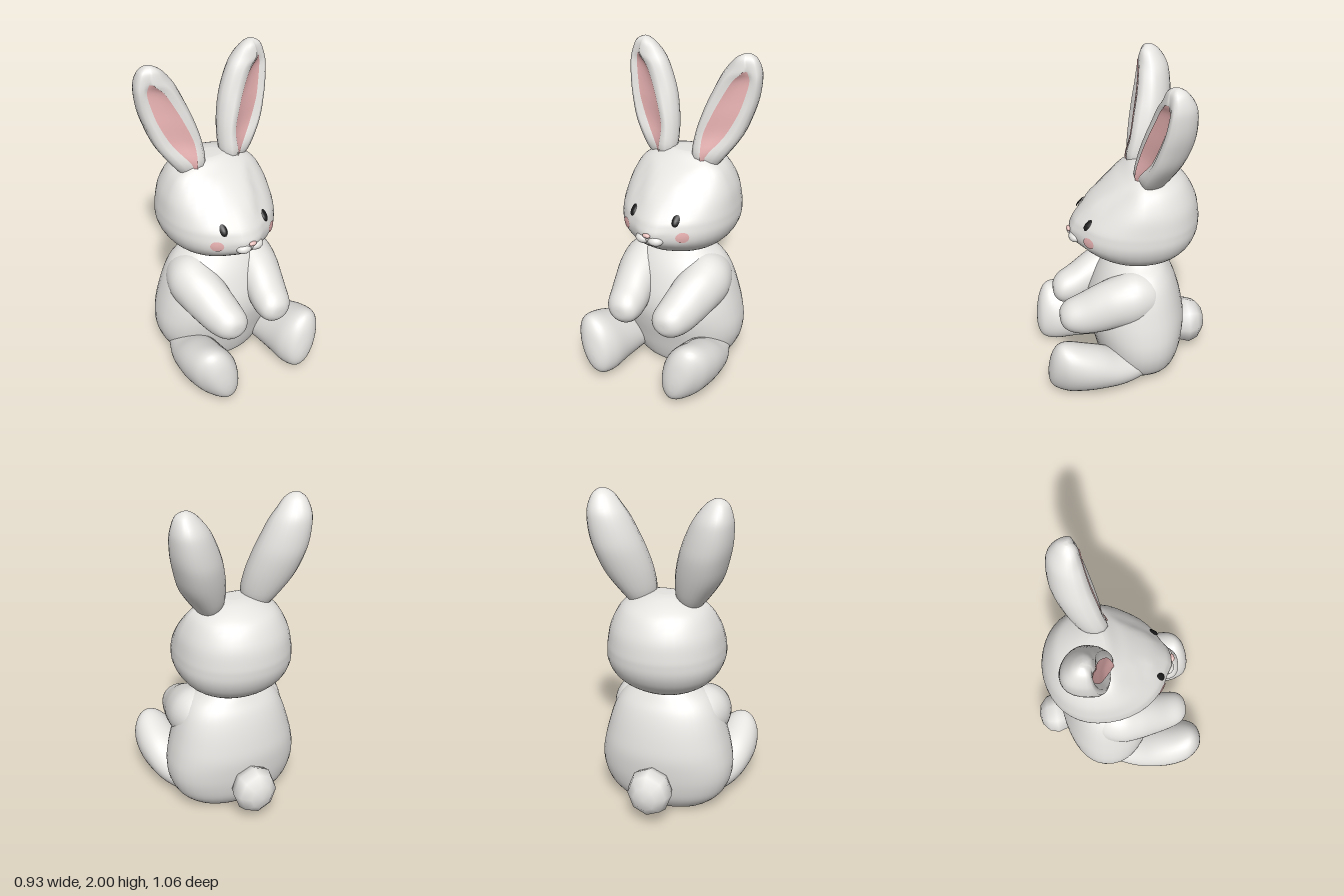
import * as THREE from 'three';

const mat = (name, color, side = THREE.FrontSide) => {
  const m = new THREE.MeshStandardMaterial({ color, side });
  m.name = name;
  return m;
};
const smoothstep = THREE.MathUtils.smoothstep;

// Resample a table of section rows along a Catmull-Rom spline
function refine(rows, steps = 4) {
  const out = [];
  const at = i => rows[Math.min(Math.max(i, 0), rows.length - 1)];
  for (let i = 0; i < rows.length - 1; i++) {
    for (let k = 0; k < steps; k++) {
      const t = k / steps, a = at(i - 1), b = at(i), c = at(i + 1), d = at(i + 2);
      out.push(b.map((p, n) => p + 0.5 * t * (c[n] - a[n] + t * (2 * a[n] - 5 * p + 4 * c[n] - d[n]
        + t * (3 * (p - c[n]) + d[n] - a[n])))));
    }
  }
  out.push(rows[rows.length - 1]);
  return out;
}

// Skin a stack of rings of [x, y, z]; side -1 mirrors the part across x
function loft(rings, side = 1, closed = true) {
  const n = rings[0].length, pos = [], idx = [];
  const tri = (a, b, c) => (side > 0 ? idx.push(a, b, c) : idx.push(a, c, b));
  const add = p => pos.push(p[0] * side, p[1], p[2]);
  rings.forEach(r => r.forEach(add));
  const cols = closed ? n : n - 1;
  for (let i = 0; i < rings.length - 1; i++) {
    for (let j = 0; j < cols; j++) {
      const a = i * n + j, b = i * n + (j + 1) % n;
      tri(a, b, b + n);
      tri(a, b + n, a + n);
    }
  }
  if (closed) {
    const centre = r => [0, 1, 2].map(k => r.reduce((s, p) => s + p[k], 0) / n);
    const last = (rings.length - 1) * n, c0 = rings.length * n;
    add(centre(rings[0]));
    add(centre(rings[rings.length - 1]));
    for (let j = 0; j < n; j++) {
      const k = (j + 1) % n;
      tri(k, j, c0);
      tri(last + j, last + k, c0 + 1);
    }
  }
  const g = new THREE.BufferGeometry();
  g.setAttribute('position', new THREE.Float32BufferAttribute(pos, 3));
  g.setIndex(idx);
  g.computeVertexNormals();
  return g;
}

const angles = Array.from({ length: 40 }, (_, i) => i / 40 * Math.PI * 2);

// Limb from rows [z, centre x, centre y, radius x, radius y], leaning outward by shear
const limb = (rows, side, shear = 0) => loft(refine(rows).map(([z, cx, cy, rx, ry]) =>
  angles.map(a => [cx + rx * Math.cos(a) + shear * ry * Math.sin(a), cy + ry * Math.sin(a), z])), side);

// Fuller-than-round curve for the backs of the head and body
const full = s => Math.pow(Math.max(0, s), 0.85);

// Rows: y, half width, back z, front z
const BODY = [
  [0, 0.2, -0.2, 0.1], [0.02, 0.27, -0.26, 0.14], [0.1, 0.36, -0.32, 0.17], [0.2, 0.405, -0.35, 0.195],
  [0.3, 0.415, -0.365, 0.22], [0.4, 0.4, -0.37, 0.235], [0.5, 0.375, -0.355, 0.225], [0.6, 0.345, -0.33, 0.19],
  [0.68, 0.31, -0.3, 0.15], [0.74, 0.26, -0.265, 0.105], [0.79, 0.18, -0.235, 0.05], [0.84, 0.13, -0.2, 0.02],
];
// Rows: y, half width, back z, front z on the muzzle ridge, front z beside it
const HEAD = refine([
  [0.775, 0.12, -0.2, 0.0, 0.0], [0.8, 0.18, -0.27, 0.07, 0.07], [0.85, 0.26, -0.35, 0.19, 0.185],
  [0.9, 0.31, -0.4, 0.265, 0.255], [0.95, 0.337, -0.43, 0.32, 0.3], [1.0, 0.35, -0.447, 0.335, 0.31],
  [1.05, 0.35, -0.452, 0.318, 0.299], [1.1, 0.345, -0.45, 0.29, 0.272], [1.2, 0.325, -0.43, 0.205, 0.172],
  [1.3, 0.275, -0.375, 0.085, 0.062], [1.35, 0.215, -0.31, 0.01, 0.008], [1.385, 0.13, -0.23, -0.04, -0.04],
  [1.397, 0.06, -0.17, -0.07, -0.07],
]);
const HEAD_Z = -0.09;

// Front of the face at x, with a raised ridge narrowing to the nose
function faceZ([y, w, , zRidge, zSide], x) {
  const arc = Math.sqrt(Math.max(0, 1 - (x / w) ** 2));
  const ridge = 0.06 + 0.32 * Math.max(0, y - 1);
  const blend = smoothstep(Math.abs(x), ridge * 0.75, ridge * 1.2);
  return HEAD_Z + (zRidge + (zSide - zRidge) * blend - HEAD_Z) * arc;
}
function faceAt(x, y) {
  const i = HEAD.findIndex(r => r[0] > y), a = HEAD[i - 1], b = HEAD[i];
  const t = (y - a[0]) / (b[0] - a[0]);
  return faceZ(a.map((v, k) => v + (b[k] - v) * t), x);
}

// Thin oval that follows the face
function facePatch(cx, cy, rx, ry, tilt, dome) {
  const g = new THREE.RingGeometry(0.001, 1, 24, 5);
  const p = g.attributes.position;
  for (let i = 0; i < p.count; i++) {
    const u = p.getX(i), v = p.getY(i);
    const x = cx + u * rx + v * ry * tilt, y = cy + v * ry;
    p.setXYZ(i, x, y, faceAt(x, y) + 0.006 + dome * (1 - u * u - v * v));
  }
  g.computeVertexNormals();
  return g;
}

// Ear rows: y, inner x, outer x, front z, back z, lining inner x, lining outer x, hollow depth
const EAR = refine([
  [1.31, 0.1, 0.2, -0.07, -0.18, 0.14, 0.16, 0], [1.39, 0.062, 0.265, -0.04, -0.235, 0.14, 0.165, 0.2],
  [1.52, 0.07, 0.35, -0.065, -0.295, 0.14, 0.26, 1], [1.65, 0.1, 0.395, -0.095, -0.335, 0.185, 0.325, 1],
  [1.75, 0.135, 0.418, -0.12, -0.345, 0.23, 0.355, 1], [1.85, 0.18, 0.425, -0.14, -0.34, 0.284, 0.373, 1],
  [1.91, 0.218, 0.418, -0.155, -0.322, 0.34, 0.362, 0.3], [1.965, 0.265, 0.398, -0.17, -0.285, 0.335, 0.35, 0],
  [1.99, 0.3, 0.372, -0.188, -0.255, 0.333, 0.342, 0], [2.0, 0.325, 0.35, -0.208, -0.232, 0.336, 0.34, 0],
]);
function hollow([, , , zf, zb, pi, po, d], y, lift = 0) {
  const tilt = 0.07 * (zf - zb);
  return [
    [pi, y, zf - 0.008 * d + lift], [(pi + po) / 2, y, zf - tilt / 2 - 0.03 * d + lift], [po, y, zf - tilt - 0.03 * d + lift],
  ];
}
function earRing(r) {
  const [y, xi, xo, zf, zb, pi, po] = r, ring = [];
  const cx = (xi + xo) / 2, hw = (xo - xi) / 2, depth = zf - zb, zm = zf - 0.32 * depth;
  for (let k = 0; k <= 14; k++) {
    const a = k / 14 * Math.PI, c = Math.cos(a);
    ring.push([cx + hw * (c + 0.18 * (1 - c * c)), y, zm + (zb - zm) * Math.sin(a)]);
  }
  const rimIn = pi - xi, rimOut = xo - po;
  ring.push([xi + rimIn * 0.15, y, zf - 0.12 * depth], [xi + rimIn * 0.5, y, zf + 0.01 * depth], ...hollow(r, y),
    [xo - rimOut * 0.5, y, zf - 0.12 * depth], [xo - rimOut * 0.15, y, zf - 0.19 * depth]);
  return ring;
}

const ARM = [
  [-0.2, 0.2, 0.6, 0.05, 0.05], [-0.14, 0.205, 0.6, 0.12, 0.13], [-0.02, 0.208, 0.595, 0.158, 0.172],
  [0.1, 0.206, 0.57, 0.146, 0.16], [0.2, 0.19, 0.53, 0.132, 0.152], [0.3, 0.17, 0.491, 0.12, 0.126],
  [0.38, 0.158, 0.478, 0.1, 0.095], [0.42, 0.155, 0.475, 0.06, 0.055], [0.43, 0.155, 0.475, 0.02, 0.02],
];
const LEG = [
  [-0.12, 0.25, 0.13, 0.08, 0.07], [0, 0.265, 0.125, 0.125, 0.095], [0.1, 0.285, 0.14, 0.145, 0.12],
  [0.2, 0.3, 0.165, 0.153, 0.15], [0.3, 0.308, 0.185, 0.154, 0.172], [0.4, 0.305, 0.201, 0.144, 0.19],
  [0.46, 0.298, 0.203, 0.117, 0.182], [0.5, 0.29, 0.185, 0.085, 0.142], [0.522, 0.285, 0.16, 0.048, 0.08],
  [0.53, 0.28, 0.15, 0.015, 0.025],
];

export function createModel() {
  const model = new THREE.Group();
  const fur = mat('fur', 0xe6e4e1);
  const lining = mat('ear lining', 0xe6b0b0, THREE.DoubleSide);
  const blush = mat('blush', 0xe6b0b0);
  const nosePink = mat('nose pink', 0xe8c0bc);
  const black = mat('eye black', 0x1a1a1a);
  const add = (name, geometry, material) => {
    const m = new THREE.Mesh(geometry, material);
    m.name = name;
    model.add(m);
    return m;
  };
  const ball = (name, material, [x, y, z], [rx, ry, rz], seg = 20) => {
    const m = add(name, new THREE.SphereGeometry(1, seg, Math.round(seg * 0.75)).rotateX(-Math.PI / 2), material);
    m.position.set(x, y, z);
    m.scale.set(rx, ry, rz);
  };

  // Torso and head
  add('body', loft(refine(BODY).map(([y, w, zb, zf]) => angles.map(a => {
    const s = -Math.sin(a), zc = -0.08;
    return [w * Math.cos(a), y, s > 0 ? zc + (zf - zc) * s : zc + (zb - zc) * full(-s)];
  }))), fur);
  add('head', loft(HEAD.map(r => angles.map(a => {
    const x = r[1] * Math.cos(a), s = Math.sin(a);
    return [x, r[0], s <= 0 ? faceZ(r, x) : HEAD_Z + (r[2] - HEAD_Z) * full(s)];
  }))), fur);
  ball('nose', nosePink, [0, 1.009, 0.337], [0.025, 0.014, 0.014]);
  ball('tail', fur, [0, 0.215, -0.415], [0.14, 0.155, 0.117], 8);

  // Paired parts
  for (const [side, label] of [[1, 'left'], [-1, 'right']]) {
    add(label + 'Arm', limb(ARM, side), fur);
    add(label + 'Leg', limb(LEG, side, 0.2), fur);
    add(label + 'Ear', loft(EAR.map(earRing), side), fur);
    const lined = EAR.filter(r => r[0] > 1.36 && r[0] < 1.915);
    add(label + 'EarLining', loft(lined.map(r => hollow(r, r[0], 0.006)), side, false), lining);
    ball(label + 'Muzzle', fur, [side * 0.04, 0.973, 0.3], [0.05, 0.033, 0.043]);
    add(label + 'Eye', facePatch(side * 0.144, 1.1, 0.02, 0.031, side * -0.12, 0.011), black);
    add(label + 'Cheek', facePatch(side * 0.19, 1.005, 0.033, 0.033, 0, 0), blush);
  }
  return model;
}
